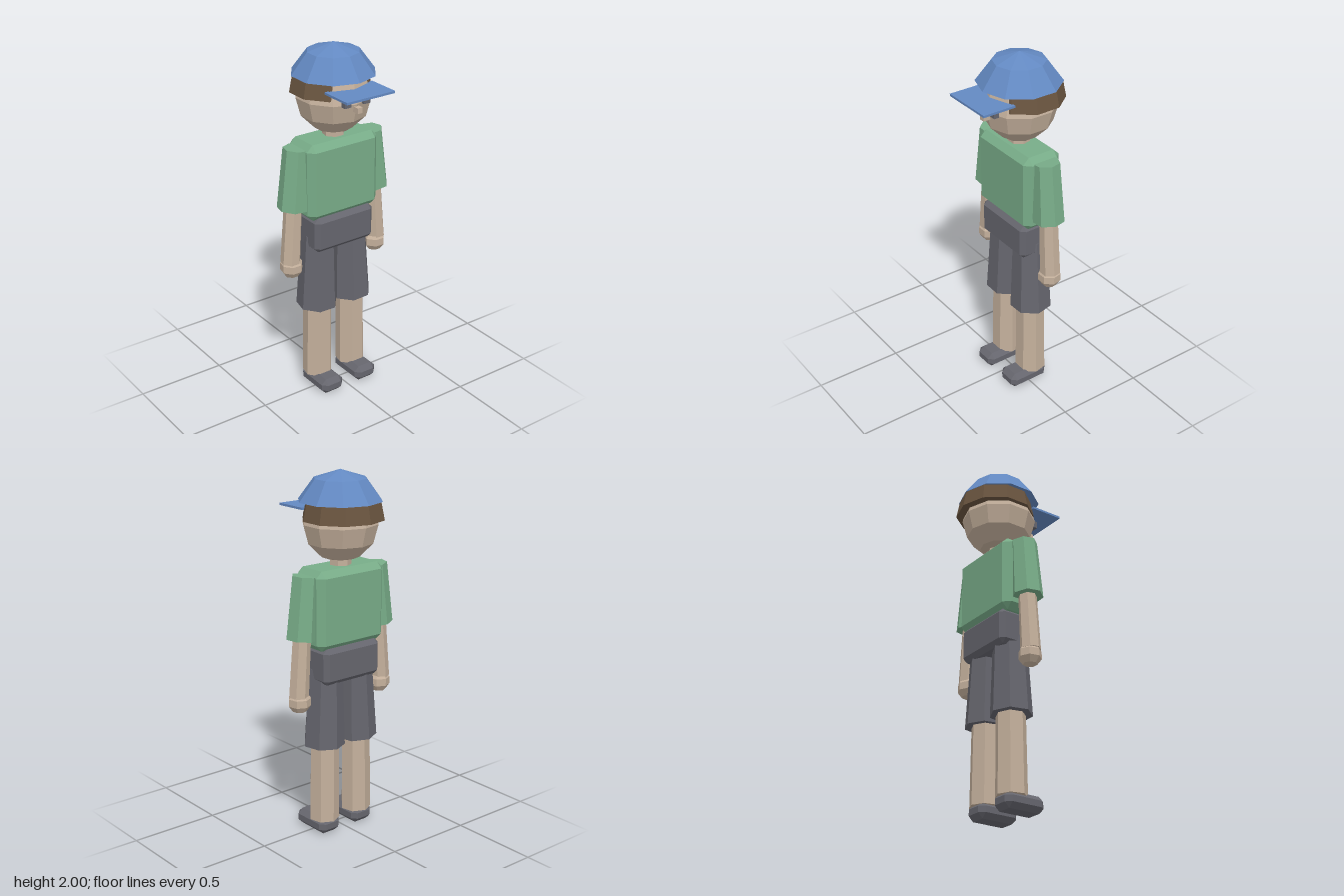
import * as THREE from 'three';
import { ConvexGeometry } from 'three/addons/geometries/ConvexGeometry.js';

const Z = -0.04; // depth of the body axis

export function createModel() {
  const model = new THREE.Group();
  model.name = 'boyWithCap';

  const paint = (name, color) => {
    const m = new THREE.MeshStandardMaterial({ color });
    m.name = name;
    return m;
  };
  const skin = paint('skin', 0xc4b09c);
  const green = paint('shirtGreen', 0x78ac88);
  const grey = paint('darkGrey', 0x66666e);
  const brown = paint('hairBrown', 0x6a5540);
  const blue = paint('capBlue', 0x6389c2);

  // Adds a faceted mesh
  function add(name, geometry, material, x = 0, y = 0, z = 0) {
    const g = geometry.index ? geometry.toNonIndexed() : geometry;
    g.computeVertexNormals();
    const mesh = new THREE.Mesh(g, material);
    mesh.name = name;
    mesh.position.set(x, y, z);
    model.add(mesh);
    return mesh;
  }

  // Box with every edge cut off by b
  function chamferBox(w, h, d, b) {
    const points = [];
    for (const sx of [-1, 1]) for (const sy of [-1, 1]) for (const sz of [-1, 1]) {
      for (let axis = 0; axis < 3; axis++) {
        const half = [w / 2 - b, h / 2 - b, d / 2 - b];
        half[axis] += b;
        points.push(new THREE.Vector3(sx * half[0], sy * half[1], sz * half[2]));
      }
    }
    return new ConvexGeometry(points);
  }

  // Seven-sided tapered limb leaning from a top point to a bottom point
  function limb(name, material, side, [x1, y1, r1], [x2, y2, r2]) {
    const length = Math.hypot(x2 - x1, y1 - y2);
    const g = new THREE.CylinderGeometry(r1, r2, length, 7, 1, false, Math.PI);
    const mesh = add(name, g, material, side * (x1 + x2) / 2, (y1 + y2) / 2, Z);
    mesh.rotation.z = side * Math.atan2(x2 - x1, y1 - y2);
  }

  // Trunk
  add('shirt', chamferBox(0.45, 0.43, 0.226, 0.035), green, 0, 1.285, Z);
  add('hips', chamferBox(0.38, 0.2, 0.23, 0.025), grey, 0, 0.98, Z);
  add('neck', new THREE.CylinderGeometry(0.06, 0.06, 0.12, 7, 1, false, Math.PI), skin, 0, 1.51, Z);

  // Arms and legs, mirrored
  for (const side of [1, -1]) {
    const label = side > 0 ? 'left' : 'right';
    limb(label + 'Sleeve', green, side, [0.235, 1.472, 0.073], [0.265, 1.136, 0.085]);
    limb(label + 'Arm', skin, side, [0.262, 1.16, 0.05], [0.286, 0.82, 0.055]);
    add(label + 'Hand', new THREE.SphereGeometry(0.065, 7, 5, -Math.PI / 2), skin, side * 0.28, 0.793, Z);
    limb(label + 'ShortsLeg', grey, side, [0.103, 0.95, 0.094], [0.115, 0.512, 0.115]);
    limb(label + 'Leg', skin, side, [0.11, 0.56, 0.08], [0.115, 0.075, 0.085]);
    add(label + 'Shoe', chamferBox(0.14, 0.09, 0.24, 0.028), grey, side * 0.115, 0.045, 0.008);
    add(label + 'Eye', new THREE.BoxGeometry(0.04, 0.04, 0.03), grey, side * 0.06, 1.735, 0.157);
  }

  // Head
  add('head', new THREE.SphereGeometry(0.205, 10, 6, Math.PI / 2), skin, 0, 1.72, Z);
  add('nose', new THREE.BoxGeometry(0.03, 0.03, 0.05), skin, 0, 1.695, 0.167);
  const hair = add('hair', new THREE.CylinderGeometry(0.205, 0.225, 0.097, 10), brown, 0, 1.7925, -0.066);
  hair.scale.z = 0.96;

  // Cap
  const crown = [[0, 1.838], [0.227, 1.838], [0.141, 1.955], [0, 2]].map(([r, y]) => new THREE.Vector2(r, y));
  add('capCrown', new THREE.LatheGeometry(crown, 10), blue, 0, 0, Z);
  add('capVisor', new THREE.BoxGeometry(0.3, 0.012, 0.19), blue, 0, 1.79, 0.188);

  return model;
}
